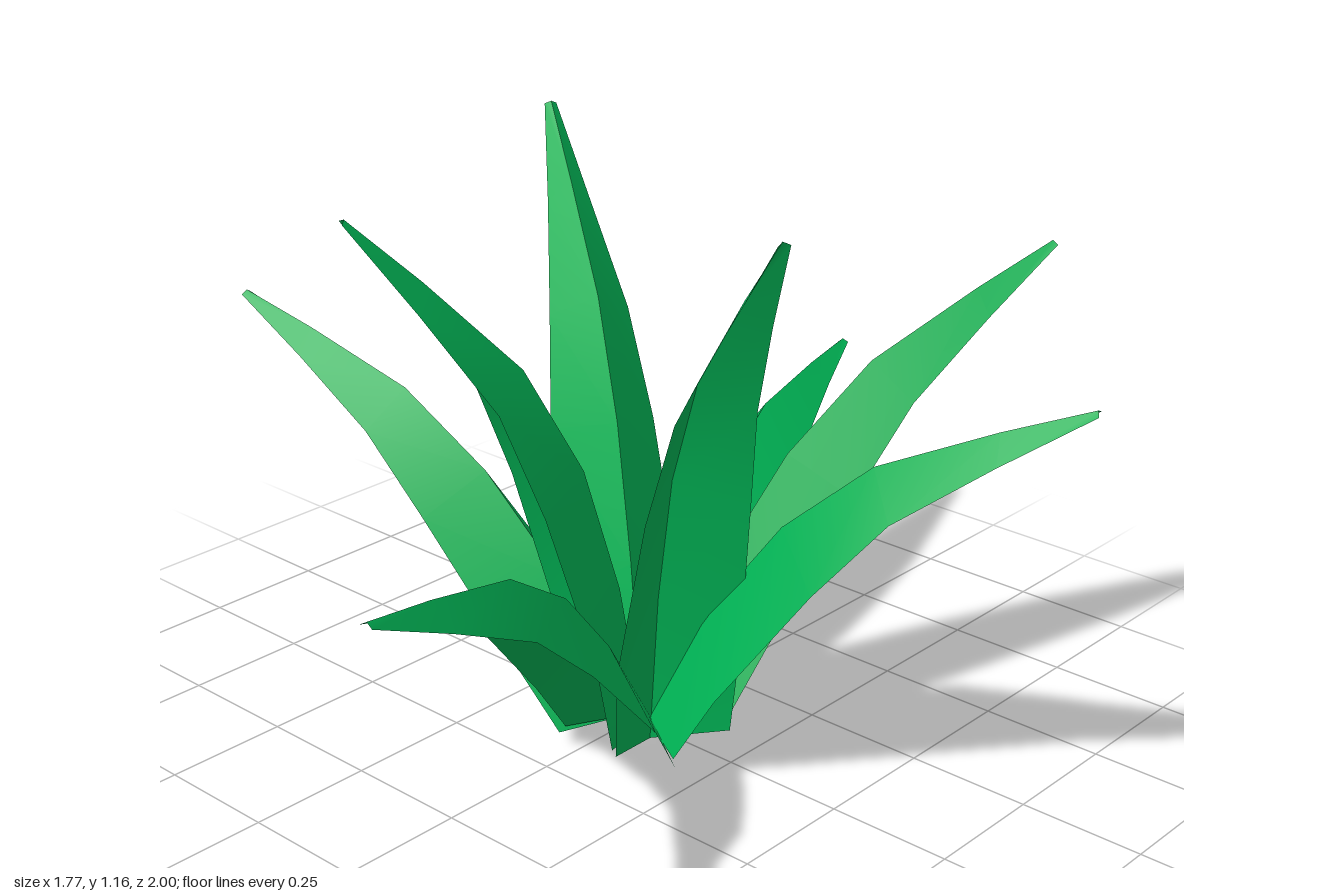
import * as THREE from 'three';

// Cross-sections of one folded leaf lying along +x:
// [ridge x, ridge y, edge x, edge y, half width]
const SECTIONS = [
  [0, 0, 0.075, -0.08, 0.12],
  [0.285, 0.092, 0.245, -0.028, 0.127],
  [0.534, 0.143, 0.55, 0.032, 0.105],
  [0.765, 0.138, 0.755, 0.055, 0.08],
  [1.0, 0.062, 0.97, 0.025, 0.043],
  [1.165, 0, 1.163, -0.008, 0.012],
];
const LEAF_LENGTH = 1.165;

// Root, tip and sideways roll of each leaf
const LEAVES = [
  { root: [0.06, 0.06, 0.04], tip: [-0.27, 0.465, -0.995], roll: -0.15 },
  { root: [0.06, 0.055, 0.04], tip: [0.41, 0.9, -0.76], roll: 0 },
  { root: [0.06, 0.055, 0.045], tip: [0.88, 0.84, -0.18], roll: 0.15 },
  { root: [0.09, 0.01, 0.055], tip: [0.54, 1.16, 0.245], roll: 0 },
  { root: [0.07, 0.055, 0.04], tip: [0.375, 0.715, 0.995], roll: -0.12 },
  { root: [0.065, 0.025, 0.045], tip: [-0.16, 1.12, 0.55], roll: -0.08 },
  { root: [0.06, 0.055, 0.05], tip: [-0.88, 0.745, 0.21], roll: -0.06 },
  { root: [0.06, 0.025, 0.045], tip: [-0.48, 1.115, -0.275], roll: 0 },
];

// Roof-shaped blade; the ridge points are doubled so the fold stays sharp
function leafGeometry() {
  const positions = [];
  const indices = [];
  SECTIONS.forEach(([rx, ry, ex, ey, w], i) => {
    positions.push(ex, ey, -w, rx, ry, 0, rx, ry, 0, ex, ey, w);
    if (i === SECTIONS.length - 1) return;
    for (const column of [0, 2]) {
      const a = i * 4 + column;
      indices.push(a, a + 1, a + 4, a + 1, a + 5, a + 4);
    }
  });
  const geometry = new THREE.BufferGeometry();
  geometry.setAttribute('position', new THREE.Float32BufferAttribute(positions, 3));
  geometry.setIndex(indices);
  geometry.computeVertexNormals();
  return geometry;
}

export function createModel() {
  const plant = new THREE.Group();
  plant.name = 'plant';
  const geometry = leafGeometry();
  const material = new THREE.MeshStandardMaterial({ color: 0x00b455, side: THREE.DoubleSide });

  // Aim each leaf from its root to its tip, ridge upwards, then roll it
  LEAVES.forEach(({ root, tip, roll }, i) => {
    const leaf = new THREE.Mesh(geometry, material);
    leaf.name = `leaf${i + 1}`;
    leaf.position.set(...root);
    const along = new THREE.Vector3(...tip).sub(leaf.position);
    leaf.scale.x = along.length() / LEAF_LENGTH;
    along.normalize();
    const across = new THREE.Vector3().crossVectors(along, new THREE.Vector3(0, 1, 0)).normalize();
    const ridge = new THREE.Vector3().crossVectors(across, along);
    leaf.quaternion.setFromRotationMatrix(new THREE.Matrix4().makeBasis(along, ridge, across));
    leaf.rotateX(roll);
    plant.add(leaf);
  });

  return plant;
}
